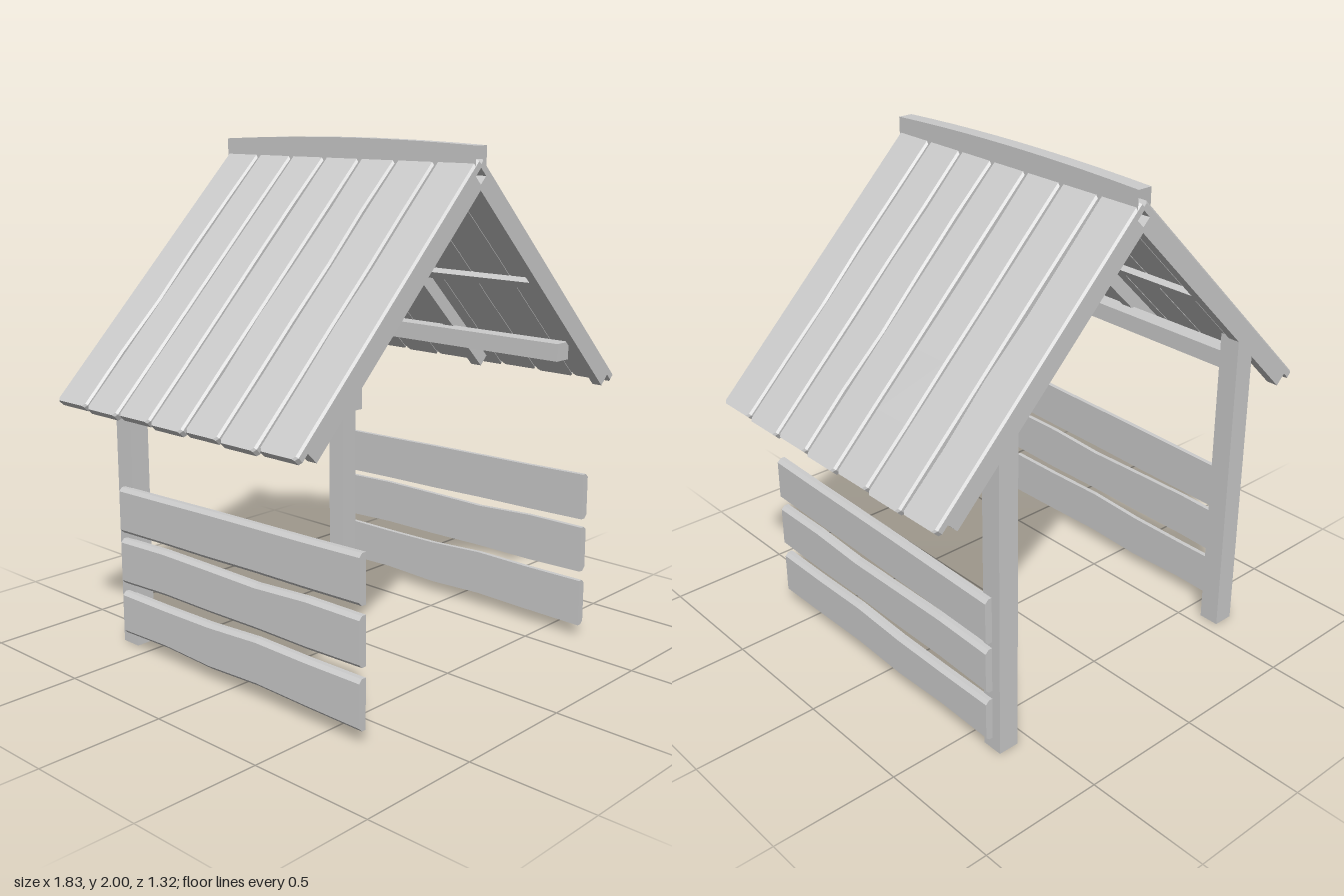
import * as THREE from 'three';

const solid = new THREE.MeshStandardMaterial({ color: 0xcccccc, flatShading: true });
const open = new THREE.MeshStandardMaterial({ color: 0xcccccc, flatShading: true, side: THREE.DoubleSide });

// Small repeatable variation for the hand-cut edges
let seed = 7;
const wobble = (a) => {
  seed = (seed * 16807) % 2147483647;
  return (seed / 2147483647 - 0.5) * 2 * a;
};

// Board swept along x through stations [x, low y, high y]; outer edges chamfered on +z
function boardGeometry(stations, t, c) {
  const loops = stations.map(([x, lo, hi]) =>
    [[lo, 0], [hi, 0], [hi, t - c], [hi - c, t], [lo + c, t], [lo, t - c]].map(([y, z]) => [x, y, z]));
  const pos = [];
  const tri = (...pts) => pts.forEach((p) => pos.push(...p));
  for (let s = 0; s < loops.length - 1; s++) {
    const a = loops[s], b = loops[s + 1];
    for (let i = 0; i < 6; i++) {
      const j = (i + 1) % 6;
      tri(a[i], a[j], b[j]);
      tri(a[i], b[j], b[i]);
    }
  }
  const first = loops[0], last = loops[loops.length - 1];
  for (let i = 1; i < 5; i++) {
    tri(last[0], last[i], last[i + 1]);
    tri(first[0], first[i + 1], first[i]);
  }
  const g = new THREE.BufferGeometry();
  g.setAttribute('position', new THREE.Float32BufferAttribute(pos, 3));
  g.computeVertexNormals();
  return g;
}

// Box given by its limits
function boxGeometry(x0, x1, y0, y1, z0, z1) {
  return new THREE.BoxGeometry(x1 - x0, y1 - y0, z1 - z0)
    .translate((x0 + x1) / 2, (y0 + y1) / 2, (z0 + z1) / 2);
}

// Copy reflected in x, with the winding turned back
function mirrored(geometry) {
  const g = geometry.index ? geometry.toNonIndexed() : geometry.clone();
  const p = g.attributes.position;
  const a = new THREE.Vector3(), b = new THREE.Vector3();
  for (let i = 0; i < p.count; i += 3) {
    a.fromBufferAttribute(p, i + 1);
    b.fromBufferAttribute(p, i + 2);
    p.setXYZ(i, -p.getX(i), p.getY(i), p.getZ(i));
    p.setXYZ(i + 1, -b.x, b.y, b.z);
    p.setXYZ(i + 2, -a.x, a.y, a.z);
  }
  g.computeVertexNormals();
  return g;
}

export function createModel() {
  const model = new THREE.Group();
  model.name = 'woodenShelter';

  const add = (name, geometry, material = solid) => {
    const mesh = new THREE.Mesh(geometry, material);
    mesh.name = name;
    model.add(mesh);
  };
  const addPair = (name, geometry) => {
    add(name + 'Left', geometry);
    add(name + 'Right', mirrored(geometry));
  };

  // Roof frame: local x runs down the slope, local y is -z, local z points out of the roof
  const r = Math.SQRT1_2;
  const slope = new THREE.Matrix4().makeBasis(
    new THREE.Vector3(r, -r, 0), new THREE.Vector3(0, 0, -1), new THREE.Vector3(r, r, 0));
  const addRoofPair = (name, geometry) => addPair(name, geometry.applyMatrix4(slope));

  // Back posts, tops cut to the roof pitch
  const postShape = new THREE.Shape([[0.555, 0], [0.64, 0], [0.64, 1.2], [0.555, 1.285]]
    .map(([x, y]) => new THREE.Vector2(x, y)));
  addPair('post', new THREE.ExtrudeGeometry(postShape, { depth: 0.085, bevelEnabled: false })
    .translate(0, 0, -0.66));

  // Beams running forward from the posts under the rafters
  addPair('beam', boxGeometry(0.56, 0.635, 1.14, 1.21, -0.6, 0.57));

  // Three side boards: [front low, front high, back low, back high]
  const toSide = new THREE.Matrix4().makeBasis(
    new THREE.Vector3(0, 0, -1), new THREE.Vector3(0, 1, 0), new THREE.Vector3(1, 0, 0));
  [[0.5, 0.685, 0.47, 0.655, 0.002], [0.28, 0.465, 0.26, 0.445, 0.008], [0.05, 0.24, 0.05, 0.225, 0.01]]
    .forEach(([fl, fh, bl, bh, rough], n) => {
      const stations = [];
      for (let i = 0; i <= 5; i++) {
        const k = i / 5, w = i % 5 ? rough : 0;
        stations.push([-0.66 + 1.28 * k, fl + (bl - fl) * k + wobble(w), fh + (bh - fh) * k + wobble(w)]);
      }
      const g = boardGeometry(stations, 0.033, 0.014).applyMatrix4(toSide).translate(0.637, 0, 0);
      addPair('sideBoard' + (n + 1), g);
    });

  // Rafters
  [[0.57, 0.612], [-0.052, 0], [-0.66, -0.612]].forEach(([z0, z1], n) =>
    addRoofPair('rafter' + (n + 1), boxGeometry(-1.308, -0.138, -z1, -z0, 1.294, 1.352)));

  // Batten and thin lining beneath the planks
  addRoofPair('roofBatten', boxGeometry(-0.74, -0.7, -0.6, 0.65, 1.325, 1.352));
  addRoofPair('roofLining', boxGeometry(-1.352, -0.11, -0.605, 0.655, 1.351, 1.357));

  // Seven roof planks per slope, with slightly uneven edges
  const edges = [0.612, 0.43, 0.245, 0.065, -0.115, -0.295, -0.48, -0.66];
  for (let n = 0; n < 7; n++) {
    const lo = -edges[n] + (n ? 0.005 : 0), hi = -edges[n + 1] - (n < 6 ? 0.005 : 0);
    const end = -0.09 + (n % 2 ? 0.004 : -0.002);
    const rough = n % 2 ? 0.002 : 0.006;
    const stations = [[-1.358, lo, hi]];
    for (const u of [-1.1, -0.85, -0.6, -0.35]) {
      stations.push([u, lo + (n ? wobble(rough) : 0), hi + (n < 6 ? wobble(rough) : 0)]);
    }
    stations.push([end - 0.012, lo, hi], [end, lo + 0.01, hi - 0.01]);
    addRoofPair('roofPlank' + (n + 1), boardGeometry(stations, 0.032, 0.008).translate(0, 0, 1.349));
  }

  // Ridge cap: open-ended channel with a gently arched top
  const cap = new THREE.PlaneGeometry(3, 1.272, 3, 10);
  const p = cap.attributes.position;
  for (let i = 0; i < p.count; i++) {
    const column = Math.round(p.getX(i) + 1.5), k = p.getY(i) / 0.636;
    const top = 2 - 0.016 * k * k;
    p.setXYZ(i, column < 2 ? -0.03 : 0.03, column === 0 || column === 3 ? 1.9 : top, -0.636 * k - 0.024);
  }
  cap.computeVertexNormals();
  add('ridgeCap', cap, open);

  return model;
}
